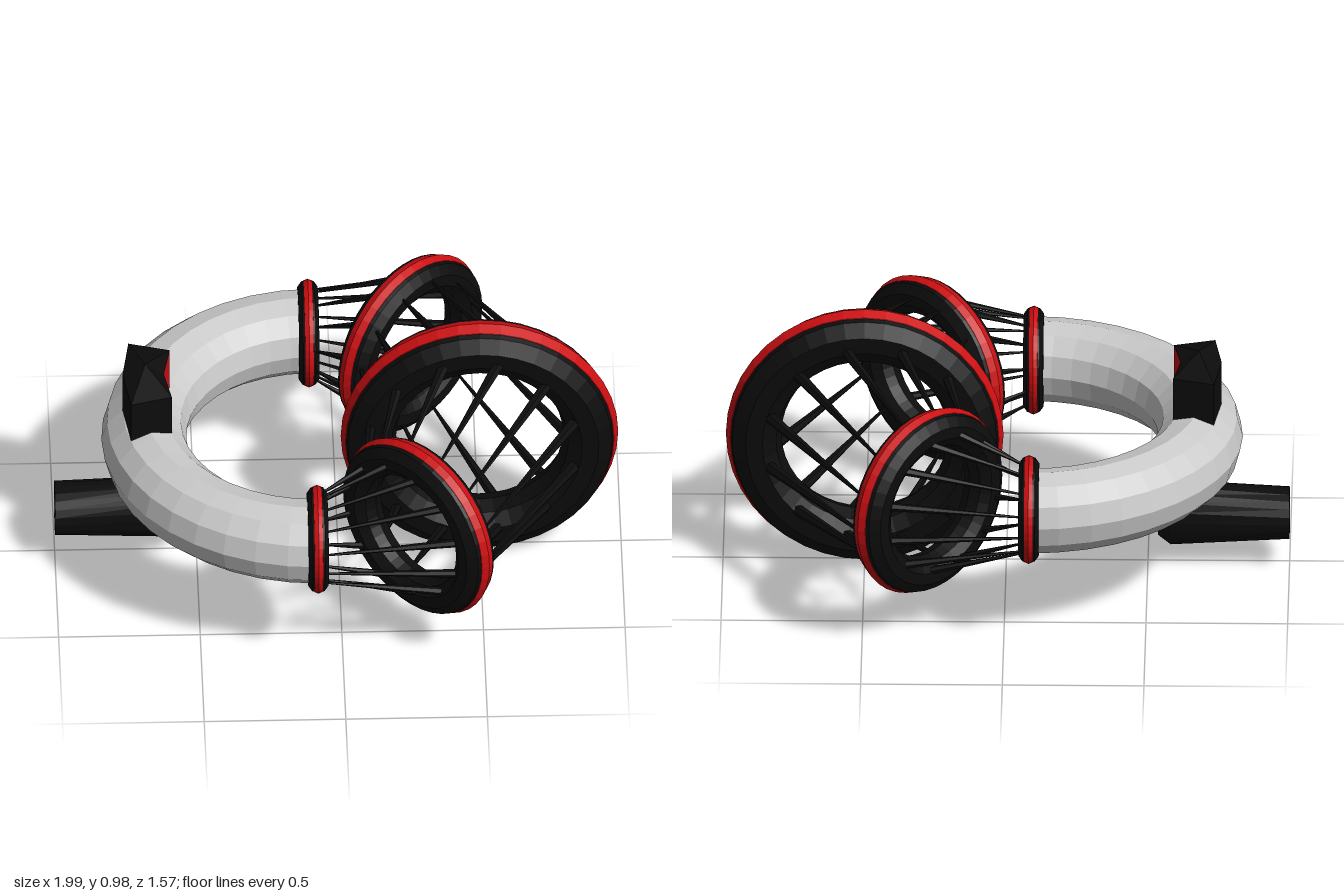
import * as THREE from 'three';

const mat = (color) => new THREE.MeshStandardMaterial({ color, flatShading: true, side: THREE.DoubleSide });
const grey = mat(0xcccccc), black = mat(0x0c0c0c), red = mat(0xcc0f12);
const MID = 0.5; // height of the ring axis
const UP = new THREE.Vector3(0, 1, 0);

function add(parent, name, geometry, material) {
  const mesh = new THREE.Mesh(geometry, material);
  mesh.name = name;
  parent.add(mesh);
  return mesh;
}

// A hoop is described by its centre, outer radius and horizontal direction angle (0 = +x, PI/2 = +z)
const hoop = (x, z, radius, angle) => ({ center: new THREE.Vector3(x, MID, z), radius, angle });

function addHoop(parent, name, h) {
  const g = new THREE.Group();
  g.name = name;
  g.position.copy(h.center);
  g.rotation.y = -h.angle;
  add(g, 'hoopBody', new THREE.TorusGeometry(h.radius * 0.795, h.radius * 0.195, 10, 40), black);
  add(g, 'hoopBand', new THREE.TorusGeometry(h.radius * 0.892, h.radius * 0.108, 8, 40), red);
  parent.add(g);
}

function hoopPoint(h, t) {
  const r = h.radius * 0.795;
  return new THREE.Vector3(Math.cos(h.angle) * Math.cos(t), Math.sin(t), Math.sin(h.angle) * Math.cos(t))
    .multiplyScalar(r).add(h.center);
}

// Twelve tapered rods joining two hoops, thin at the smaller one
function addRods(parent, name, from, to, thick) {
  const g = new THREE.Group();
  g.name = name;
  for (let i = 0; i < 12; i++) {
    const t = (i + 0.5) * Math.PI / 6;
    const a = hoopPoint(from, t), b = hoopPoint(to, t);
    const dir = b.clone().sub(a);
    const rod = add(g, 'rod', new THREE.CylinderGeometry(thick, 0.003, dir.length(), 6), black);
    rod.position.copy(a).add(b).multiplyScalar(0.5);
    rod.quaternion.setFromUnitVectors(UP, dir.normalize());
  }
  parent.add(g);
}

// Triangles from a list of corner points
function triangles(points) {
  const geo = new THREE.BufferGeometry().setFromPoints(points);
  geo.computeVertexNormals();
  return geo;
}

function quad(a, b, c, d) { return [a, b, c, a, c, d]; }

// Curved block riding on top of the band, with a low pointed roof
function addTopBlock(parent) {
  const g = new THREE.Group();
  g.name = 'topBlock';
  const plan = [[-0.735, 0.177], [-0.59, 0.135], [-0.615, 0], [-0.59, -0.135], [-0.735, -0.177], [-0.76, 0]];
  const apex = new THREE.Vector3(-0.68, 0.835, 0);
  const dark = [], panel = [];
  plan.forEach(([x, z], i) => {
    const [x2, z2] = plan[(i + 1) % 6];
    const at = (px, y, pz) => new THREE.Vector3(px, y, pz);
    const wall = quad(at(x, 0.58, z), at(x2, 0.58, z2), at(x2, 0.79, z2), at(x, 0.79, z));
    (i === 1 || i === 2 ? panel : dark).push(...wall);
    dark.push(at(x, 0.79, z), at(x2, 0.79, z2), apex);
  });
  add(g, 'blockShell', triangles(dark), black);
  add(g, 'innerPanel', triangles(panel), red);
  parent.add(g);
}

// Flared hollow pod under the band, pointing to -x
function addPod(parent) {
  const g = new THREE.Group();
  g.name = 'lowerPod';
  const profile = [[0, 0.535], [0.085, 0.535], [0.12, 0.58], [0.09, 1], [0.075, 1], [0.08, 0.88], [0, 0.88]]
    .map(([r, y]) => new THREE.Vector2(r, y));
  const geo = new THREE.LatheGeometry(profile, 20);
  geo.rotateZ(Math.PI / 2);
  // Cross-section changes from a tall oval to a wide one
  const p = geo.attributes.position;
  for (let i = 0; i < p.count; i++) {
    const k = (-p.getX(i) - 0.535) / 0.465;
    p.setZ(i, p.getZ(i) * (0.7 + 0.47 * k));
  }
  geo.computeVertexNormals();
  add(g, 'podShell', geo, black).position.y = 0.2;
  const neck = add(g, 'podNeck', new THREE.CylinderGeometry(0.07, 0.085, 0.14, 4, 1, false, Math.PI / 4), black);
  neck.position.set(-0.63, 0.33, 0);
  parent.add(g);
}

export function createModel() {
  const model = new THREE.Group();
  model.name = 'hoopedHeadband';

  // Half-ring band
  const band = new THREE.TorusGeometry(0.605, 0.15, 12, 20, Math.PI);
  band.rotateZ(Math.PI / 2).rotateX(Math.PI / 2);
  add(model, 'band', band, grey).position.set(-0.08, MID, 0);

  // Central hoop
  const large = hoop(0.5, 0, 0.49, 0);
  addHoop(model, 'centralHoop', large);

  // Mirrored front and back sides
  for (const s of [1, -1]) {
    const side = new THREE.Group();
    side.name = s > 0 ? 'frontSide' : 'backSide';
    const small = hoop(-0.088, s * 0.593, 0.192, s * Math.PI / 2);
    const medium = hoop(0.27, s * 0.525, 0.345, s * Math.PI / 4);
    addHoop(side, 'smallHoop', small);
    addHoop(side, 'middleHoop', medium);
    addRods(side, 'innerRods', small, medium, 0.017);
    addRods(side, 'outerRods', medium, large, 0.024);

    // Closed band end with thin radial spokes
    const cap = add(side, 'bandEnd', new THREE.CircleGeometry(0.15, 12), grey);
    cap.rotation.y = Math.PI / 2;
    cap.position.set(-0.08, MID, s * 0.605);
    for (let i = 0; i < 8; i++) {
      const spoke = add(side, 'endSpoke', new THREE.BoxGeometry(0.006, 0.27, 0.006), black);
      spoke.position.set(-0.078, MID, s * 0.598);
      spoke.rotation.x = i * Math.PI / 8;
    }
    model.add(side);
  }

  addTopBlock(model);
  addPod(model);
  return model;
}
